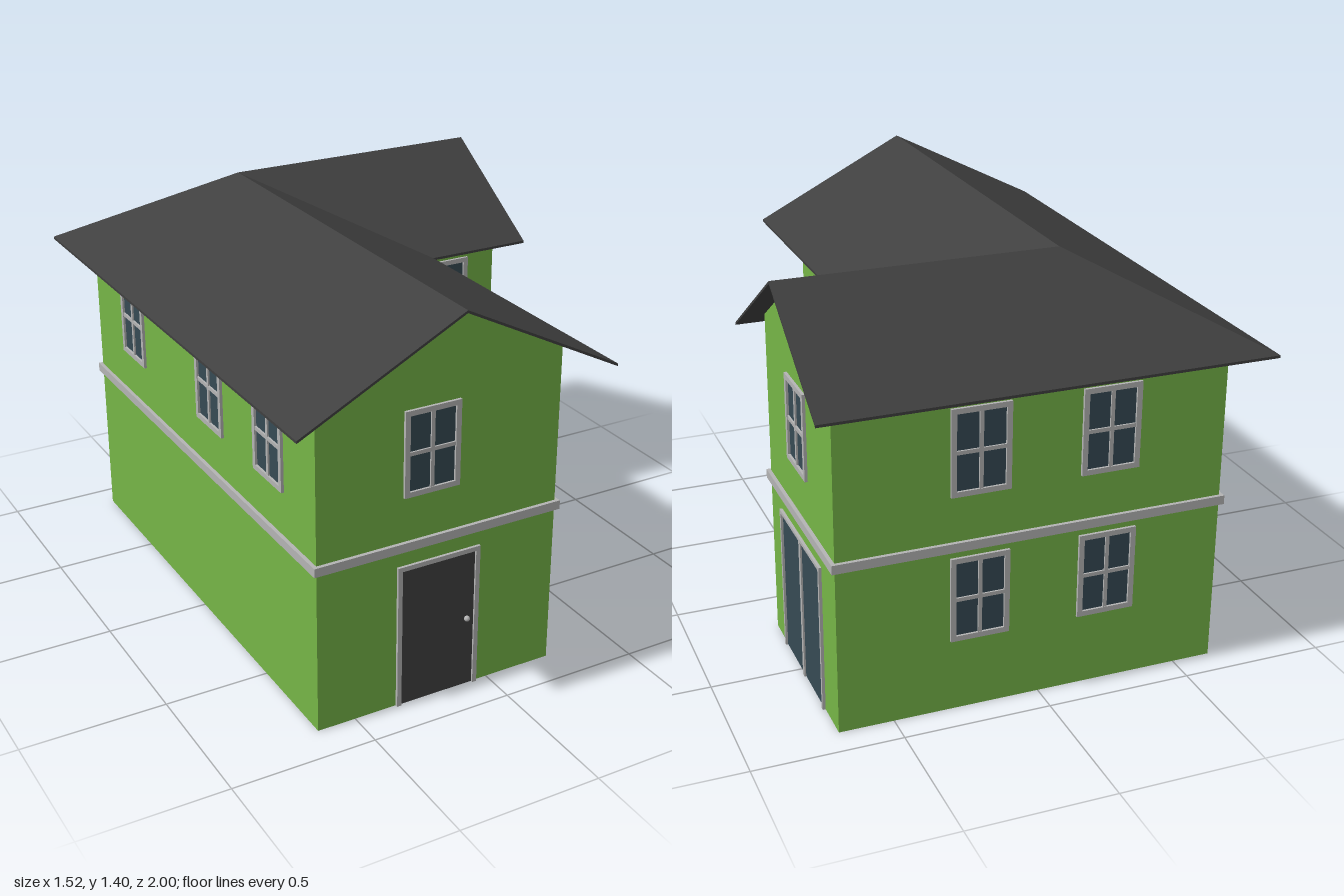
import * as THREE from 'three';

const mat = (color, extra = {}) => new THREE.MeshStandardMaterial({ color, ...extra });
const green = mat(0x76b547), roofGrey = mat(0x404040, { flatShading: true });
const trim = mat(0xb4b4b4), glass = mat(0x364a54), doorGrey = mat(0x404040);

function add(parent, name, geometry, material, x = 0, y = 0, z = 0) {
  const mesh = new THREE.Mesh(geometry, material);
  mesh.name = name;
  mesh.position.set(x, y, z);
  parent.add(mesh);
  return mesh;
}

// L-shaped plan, grown outwards by o and raised to the given height
function planSolid(o, height) {
  const plan = [[-0.635 - o, 0.87 + o], [0.245 + o, 0.87 + o], [0.245 + o, -0.195 + o],
    [0.685 + o, -0.195 + o], [0.685 + o, -0.9 - o], [-0.635 - o, -0.9 - o]];
  const shape = new THREE.Shape(plan.map(([x, z]) => new THREE.Vector2(x, -z)));
  return new THREE.ExtrudeGeometry(shape, { depth: height, bevelEnabled: false }).rotateX(-Math.PI / 2);
}

// Triangular wall under a roof end
function gable(left, apex, right, depth) {
  const shape = new THREE.Shape([[left, 1.168], [right, 1.168], [apex, 1.393]]
    .map(p => new THREE.Vector2(...p)));
  return new THREE.ExtrudeGeometry(shape, { depth, bevelEnabled: false });
}

// Thin sheet of four slopes meeting at a hip and a valley
function roofGeometry() {
  const low = 1.113, high = 1.4, thick = 0.009;
  const p = [[-0.76, low, 1], [-0.197, high, 1], [0.365, low, 1], [0.365, low, -0.1],
    [0.76, low, -0.1], [0.76, high, -0.55], [0.76, low, -1], [-0.76, low, -1], [-0.197, high, -0.55]];
  const slopes = [[0, 1, 8, 7], [1, 2, 3, 8], [8, 3, 4, 5], [8, 5, 6, 7]];
  const pos = [];
  const down = ([x, y, z]) => [x, y - thick, z];
  const quad = (a, b, c, d) => pos.push(...a, ...b, ...c, ...a, ...c, ...d);
  for (const s of slopes) {
    const [a, b, c, d] = s.map(i => p[i]);
    quad(a, b, c, d);
    quad(down(d), down(c), down(b), down(a));
  }
  for (let i = 0; i < 8; i++) {
    const a = p[i], b = p[(i + 1) % 8];
    quad(a, down(a), down(b), b);
  }
  const g = new THREE.BufferGeometry();
  g.setAttribute('position', new THREE.Float32BufferAttribute(pos, 3));
  g.computeVertexNormals();
  return g;
}

// Frame around an opening; without a sill it stays open at the bottom
function frameGeometry(w, h, t, sill, depth) {
  const b = sill ? t : 0, hw = w / 2, i = hw - t;
  const v = pts => pts.map(q => new THREE.Vector2(...q));
  let shape;
  if (sill) {
    shape = new THREE.Shape(v([[-hw, 0], [hw, 0], [hw, h], [-hw, h]]));
    shape.holes.push(new THREE.Path(v([[-i, b], [-i, h - t], [i, h - t], [i, b]])));
  } else {
    shape = new THREE.Shape(v([[-hw, 0], [-i, 0], [-i, h - t], [i, h - t], [i, 0], [hw, 0], [hw, h], [-hw, h]]));
  }
  return new THREE.ExtrudeGeometry(shape, { depth, bevelEnabled: false });
}

function makeWindow() {
  const g = new THREE.Group(), w = 0.2, h = 0.295;
  g.name = 'window';
  add(g, 'windowFrame', frameGeometry(w, h, 0.018, true, 0.01), trim);
  add(g, 'windowGlass', new THREE.BoxGeometry(w - 0.02, h - 0.02, 0.004), glass, 0, h / 2, 0);
  add(g, 'verticalBar', new THREE.BoxGeometry(0.013, h - 0.03, 0.008), trim, 0, h / 2, 0.004);
  add(g, 'crossBar', new THREE.BoxGeometry(w - 0.03, 0.013, 0.008), trim, 0, h / 2, 0.004);
  return g;
}

function makeFrontDoor() {
  const g = new THREE.Group();
  g.name = 'frontDoor';
  add(g, 'doorFrame', frameGeometry(0.305, 0.518, 0.016, false, 0.01), trim);
  add(g, 'doorPanel', new THREE.BoxGeometry(0.275, 0.503, 0.006), doorGrey, 0, 0.2525, 0);
  add(g, 'doorKnob', new THREE.SphereGeometry(0.01, 16, 12), trim, 0.11, 0.255, 0.008);
  return g;
}

function makePatioDoor() {
  const g = new THREE.Group();
  g.name = 'patioDoor';
  add(g, 'patioFrame', frameGeometry(0.44, 0.518, 0.012, false, 0.01), trim);
  add(g, 'patioGlass', new THREE.BoxGeometry(0.42, 0.507, 0.004), glass, 0, 0.2545, 0);
  add(g, 'centrePost', new THREE.BoxGeometry(0.018, 0.507, 0.008), trim, 0, 0.2535, 0.004);
  return g;
}

export function createModel() {
  const house = new THREE.Group();
  house.name = 'house';

  // Walls, gables, belt and roof
  add(house, 'walls', planSolid(0, 1.168), green);
  add(house, 'frontGable', gable(-0.635, -0.197, 0.245, 0.3), green, 0, 0, 0.57);
  add(house, 'sideGable', gable(0.195, 0.55, 0.9, 0.3), green, 0.385).rotation.y = Math.PI / 2;
  add(house, 'beltCourse', planSolid(0.013, 0.031), trim, 0, 0.573);
  add(house, 'roof', roofGeometry(), roofGrey);

  // Openings: maker, x, y, z, turn in quarter circles
  const up = 0.76, lo = 0.253;
  const openings = [
    [makeFrontDoor, -0.197, 0, 0.87, 0],
    [makePatioDoor, 0.685, 0, -0.54, 1],
    [makeWindow, -0.23, up, 0.87, 0],
    [makeWindow, 0.47, up, -0.195, 0],
    [makeWindow, 0.685, up, -0.54, 1],
  ];
  for (const z of [0.56, 0.12]) for (const y of [lo, up]) openings.push([makeWindow, 0.245, y, z, 1]);
  for (const x of [-0.23, 0.21]) for (const y of [lo, up]) openings.push([makeWindow, x, y, -0.9, 2]);
  for (const z of [-0.54, 0.12, 0.56]) openings.push([makeWindow, -0.635, up, z, -1]);
  for (const [make, x, y, z, turn] of openings) {
    const part = make();
    part.position.set(x, y, z);
    part.rotation.y = turn * Math.PI / 2;
    house.add(part);
  }
  return house;
}
